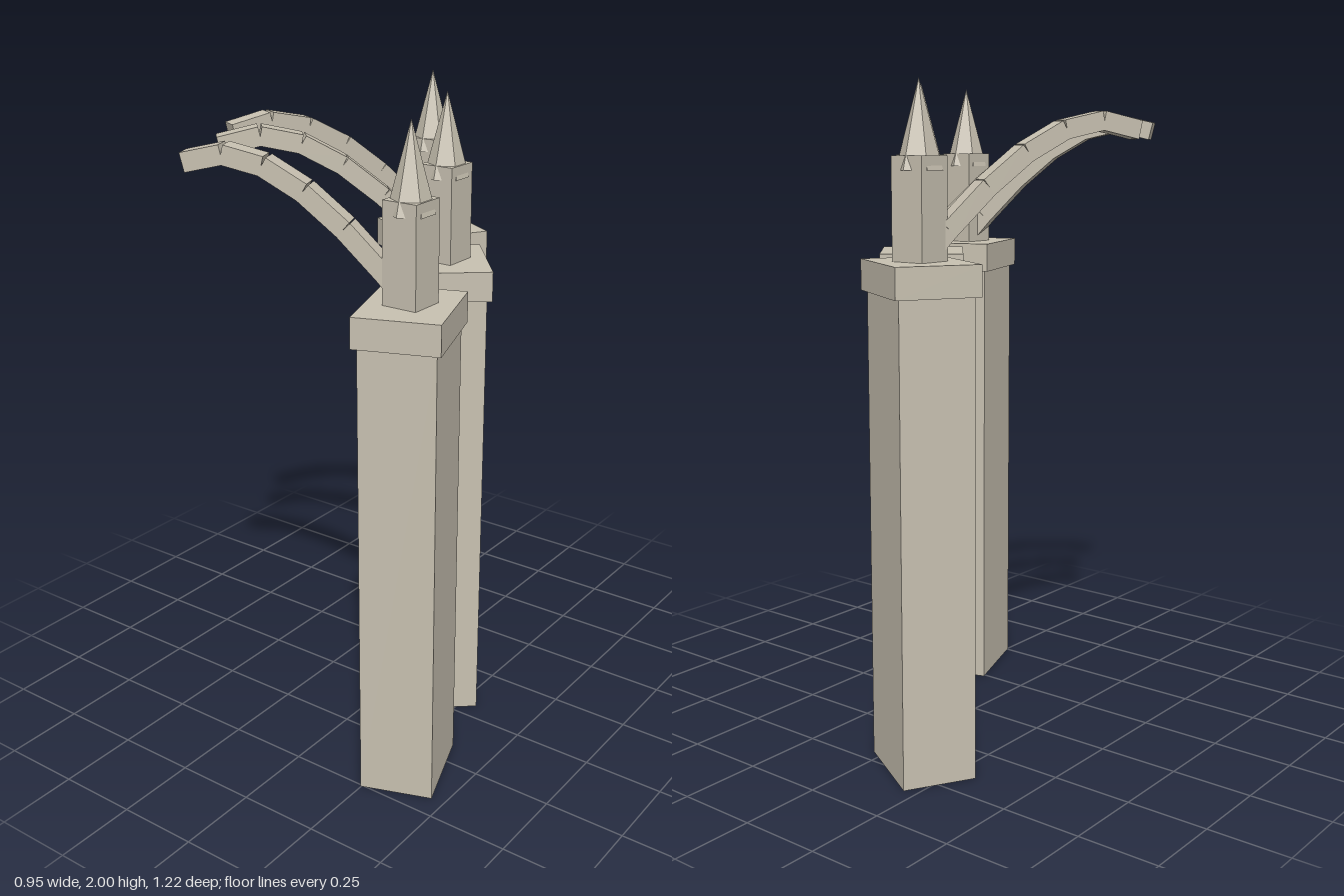
import * as THREE from 'three';

// Pier position, pier turn, arch turn (degrees) and horizontal length of one arch block
const BUTTRESSES = [
  { x: -0.142, z: -0.425, turn: 30, archTurn: 26.5, step: 0.1225 },
  { x: 0.128, z: -0.1, turn: 50.5, archTurn: 46, step: 0.1177 },
  { x: 0.304, z: 0.335, turn: 70, archTurn: 67.2, step: 0.1115 },
];
// Heights of the arch centre line at the block joints
const ARCH_HEIGHTS = [1.455, 1.585, 1.702, 1.797, 1.862, 1.888, 1.862];
const ARCH_START = -0.044;

export function createModel() {
  const model = new THREE.Group();
  model.name = 'flyingButtresses';
  const stone = new THREE.MeshStandardMaterial({ color: 0xc8c1b1, flatShading: true });
  stone.name = 'stone';

  function add(parent, name, geometry, y = 0, z = 0) {
    const mesh = new THREE.Mesh(geometry, stone);
    mesh.name = name;
    mesh.position.set(0, y, z);
    parent.add(mesh);
    return mesh;
  }

  for (const { x, z, turn, archTurn, step } of BUTTRESSES) {
    const buttress = new THREE.Group();
    buttress.name = 'buttress';
    buttress.position.set(x, 0, z);
    model.add(buttress);

    // Tall pier with an overhanging cap
    const pier = new THREE.Group();
    pier.name = 'pier';
    pier.rotation.y = -THREE.MathUtils.degToRad(turn);
    buttress.add(pier);
    add(pier, 'pierShaft', new THREE.BoxGeometry(0.283, 1.41, 0.222), 0.705);
    add(pier, 'pierCap', new THREE.BoxGeometry(0.312, 0.09, 0.25), 1.455);

    // Square pinnacle whose six-sided spire pokes through its sides
    add(buttress, 'pinnacleShaft', new THREE.BoxGeometry(0.11, 0.29, 0.11), 1.645);
    add(buttress, 'spire', new THREE.ConeGeometry(0.067, 0.25, 6), 1.875);

    // Curved arm of straight blocks, with wedge gaps at the joints
    const arch = new THREE.Group();
    arch.name = 'flyingArch';
    arch.rotation.y = -THREE.MathUtils.degToRad(archTurn);
    buttress.add(arch);
    for (let i = 0; i < ARCH_HEIGHTS.length - 1; i++) {
      const rise = ARCH_HEIGHTS[i + 1] - ARCH_HEIGHTS[i];
      const block = add(arch, 'archBlock',
        new THREE.BoxGeometry(0.058, 0.055, Math.hypot(step, rise)),
        ARCH_HEIGHTS[i] + rise / 2, ARCH_START + step * (i + 0.5));
      block.rotation.x = -Math.atan2(rise, step);
    }
  }
  return model;
}
